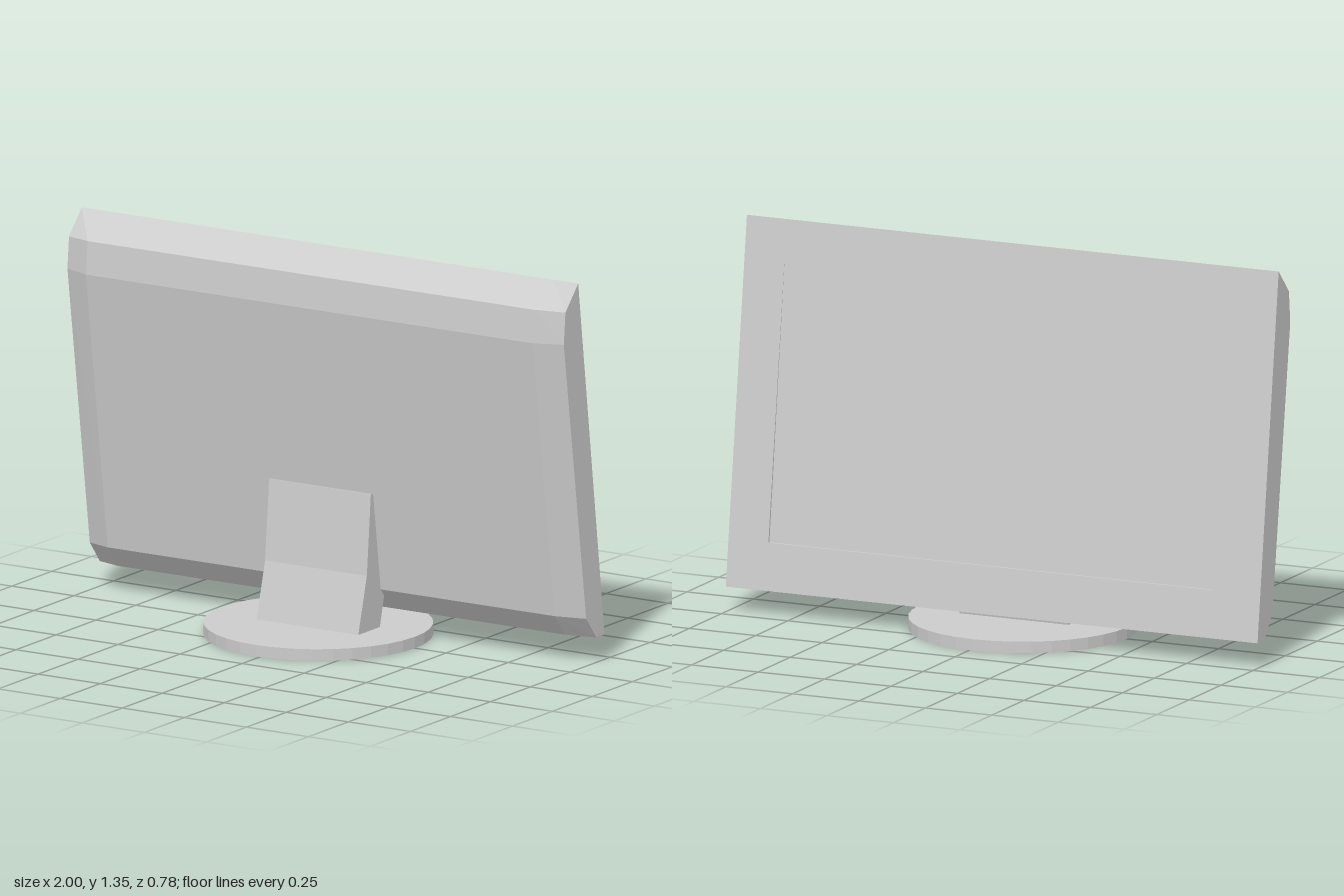
import * as THREE from 'three';

const material = new THREE.MeshStandardMaterial({ color: 0xcccccc, flatShading: true });

function addMesh(group, name, geometry) {
  const mesh = new THREE.Mesh(geometry, material);
  mesh.name = name;
  group.add(mesh);
}

// Faceted surface from convex polygons, corners counter-clockwise from outside
function facets(polygons) {
  const positions = [];
  for (const p of polygons) {
    for (let i = 1; i < p.length - 1; i++) positions.push(...p[0], ...p[i], ...p[i + 1]);
  }
  const geometry = new THREE.BufferGeometry();
  geometry.setAttribute('position', new THREE.Float32BufferAttribute(positions, 3));
  geometry.computeVertexNormals();
  return geometry;
}

// Depth of the tilted display plane at a height
const planeZ = (y) => -0.215 + (y - 0.087) * (0.165 / 1.258);

// Housing: (y, z) profiles, full depth in the middle and shallower at the ends
function housingGeometry() {
  const middle = [[1.345, -0.05], [1.265, 0.07], [1.15, 0.08], [0.17, -0.057], [0.092, -0.122], [0.087, -0.215]];
  const end = [[1.345, -0.05], [1.26, 0.03], [1.15, 0.04], [0.165, -0.1], [0.087, -0.163], [0.087, -0.215]];
  const section = (x, profile) => profile.map(([y, z]) => [x, y, z]);
  const rings = [section(-1, end), section(-0.9, middle), section(0.9, middle), section(1, end)];
  const polygons = [[...rings[0]].reverse(), rings[3]];
  for (let i = 0; i < 3; i++) {
    const a = rings[i], b = rings[i + 1];
    for (let j = 0; j < 5; j++) polygons.push([a[j], a[j + 1], b[j + 1], b[j]]);
  }
  return facets(polygons);
}

// Corners of a rectangle on the display plane, counter-clockwise seen from -z
function rectangle(x0, x1, y0, y1, depthLow = 0, depthHigh = 0) {
  const low = planeZ(y0) + depthLow, high = planeZ(y1) + depthHigh;
  return [[x1, y1, high], [x1, y0, low], [x0, y0, low], [x0, y1, high]];
}

// Quads joining two rectangles corner by corner
const join = (outer, inner) => outer.map((p, i) => {
  const n = (i + 1) % 4;
  return [p, outer[n], inner[n], inner[i]];
});

export function createModel() {
  const model = new THREE.Group();
  model.name = 'monitor';

  addMesh(model, 'housing', housingGeometry());

  // Bezel and the display, sunk a little deeper toward its lower edge
  const rim = rectangle(-1, 1, 0.087, 1.345);
  const opening = rectangle(-0.82, 0.85, 0.25, 1.2);
  const panel = rectangle(-0.82, 0.85, 0.25, 1.2, 0.008, 0.001);
  addMesh(model, 'bezel', facets([...join(rim, opening), ...join(opening, panel)]));
  addMesh(model, 'display', facets([panel]));

  // Stand: side profile in (z, y), its upper part running into the housing
  const profile = [[0.085, 0.035], [-0.05, 0.035], [-0.085, 0.17], [-0.02, 0.51], [0.005, 0.515], [0.03, 0.235]];
  const shape = new THREE.Shape(profile.map(([z, y]) => new THREE.Vector2(z, y)));
  const stand = new THREE.ExtrudeGeometry(shape, { depth: 0.41, bevelEnabled: false });
  stand.rotateY(-Math.PI / 2).translate(0.2, 0, 0);
  addMesh(model, 'stand', stand);

  // Round foot
  const foot = new THREE.CylinderGeometry(0.39, 0.39, 0.04, 36);
  foot.translate(-0.015, 0.02, 0);
  addMesh(model, 'foot', foot);

  return model;
}
